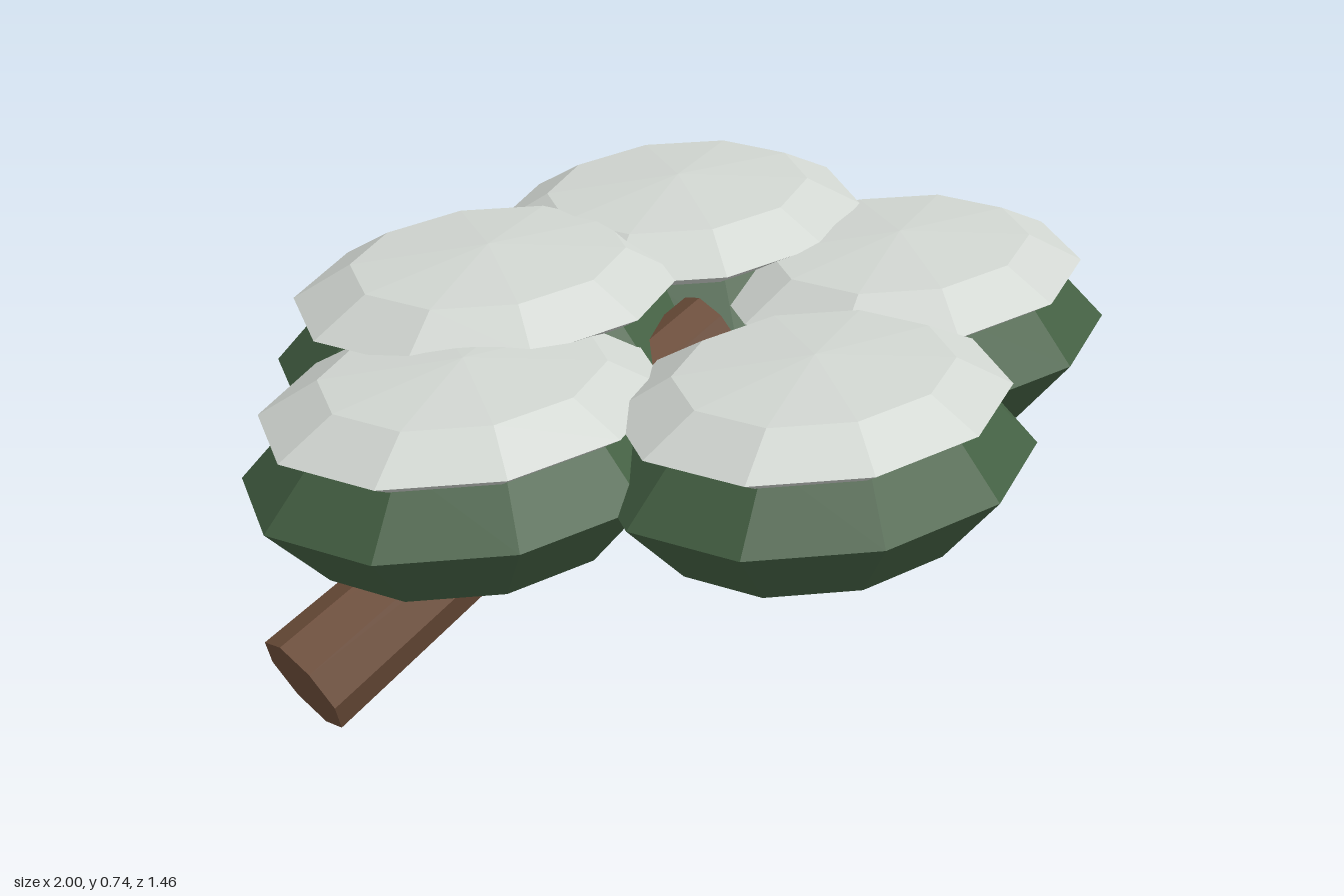
import * as THREE from 'three';

const mat = (name, color) => {
  const m = new THREE.MeshStandardMaterial({ color, flatShading: true });
  m.name = name;
  return m;
};

export function createModel() {
  const bark = mat('bark brown', 0x6f4f3b);
  const leaf = mat('leaf green', 0x446043);
  const snow = mat('snow white', 0xd0d5d0);

  const model = new THREE.Group();
  model.name = 'leaningSnowyTree';

  // Tapered eight-sided limb between two points
  function limb(name, from, to, r0, r1) {
    const a = new THREE.Vector3(...from), b = new THREE.Vector3(...to);
    const dir = b.clone().sub(a);
    const mesh = new THREE.Mesh(new THREE.CylinderGeometry(r1, r0, dir.length(), 8), bark);
    mesh.name = name;
    mesh.position.copy(a).add(b).multiplyScalar(0.5);
    mesh.quaternion.setFromUnitVectors(new THREE.Vector3(0, 1, 0), dir.normalize());
    model.add(mesh);
  }
  limb('trunk', [-0.94, 0.105, -0.04], [0.07, 0.565, -0.04], 0.11, 0.08);
  limb('frontBranch', [-0.08, 0.39, 0.08], [0, 0.5, 0.33], 0.065, 0.05);

  // Squashed low-poly ball shared by foliage and snow
  const ball = new THREE.SphereGeometry(1, 10, 4);
  function blob(name, material, pos, scale, parent) {
    const mesh = new THREE.Mesh(ball, material);
    mesh.name = name;
    mesh.position.set(...pos);
    mesh.scale.set(...scale);
    parent.add(mesh);
  }

  // Foliage pads, each with a snow cap
  const pads = [
    ['front', 0, 0.45, 0.367],
    ['left', 0.53, 0.45, 0.028],
    ['right', -0.53, 0.45, -0.045],
    ['backLeft', 0.26, 0.52, -0.373],
    ['backRight', -0.267, 0.52, -0.325],
  ];
  for (const [name, x, y, z] of pads) {
    const pad = new THREE.Group();
    pad.name = name + 'Pad';
    blob('foliage', leaf, [x, y, z], [0.47, 0.205, 0.378], pad);
    blob('snowCap', snow, [x - 0.01, y + 0.135, z], [0.42, 0.092, 0.337], pad);
    model.add(pad);
  }
  return model;
}
